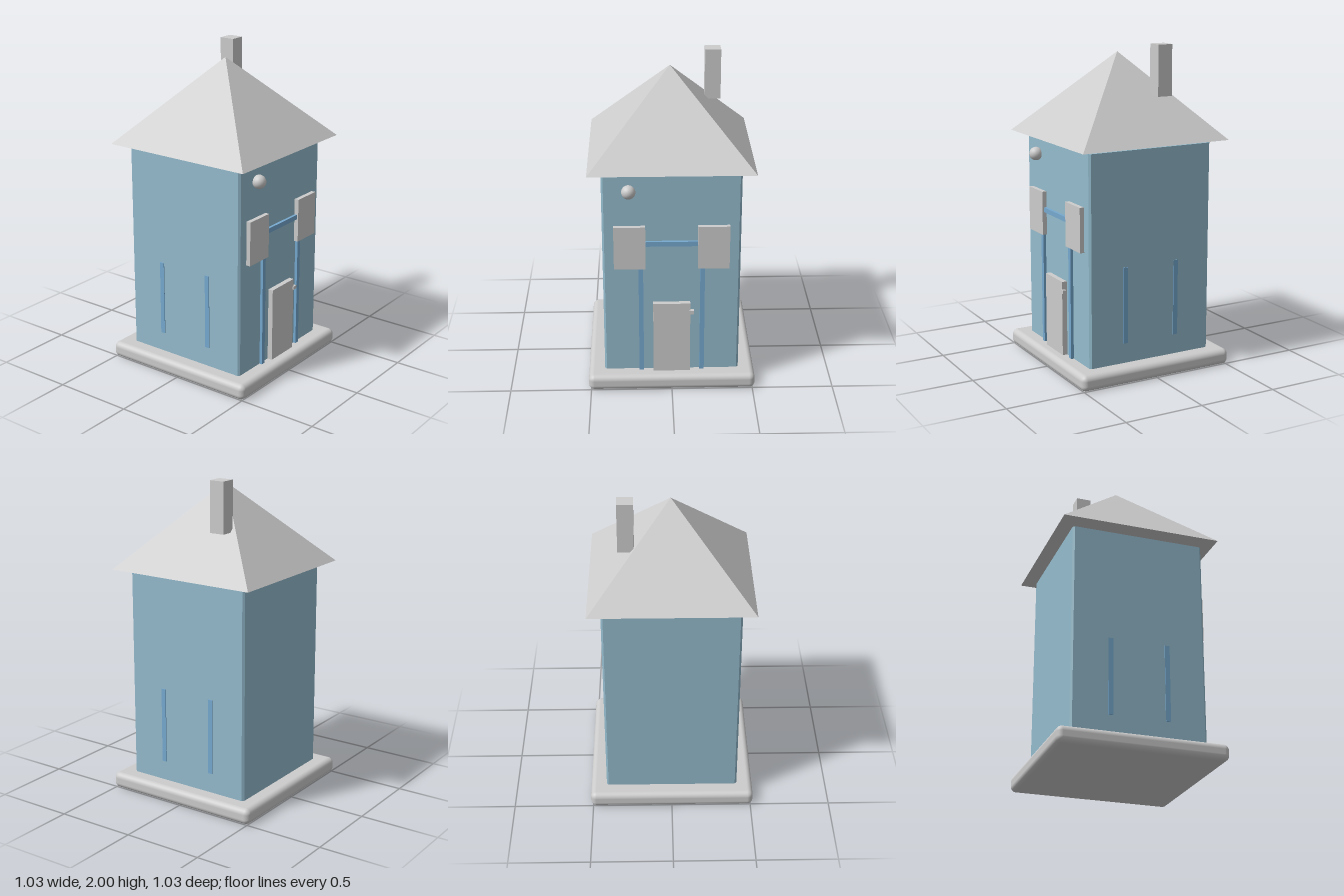
import * as THREE from 'three';
import { RoundedBoxGeometry } from 'three/addons/geometries/RoundedBoxGeometry.js';

export function createModel() {
  const house = new THREE.Group();
  house.name = 'house';

  const material = (name, color) => {
    const m = new THREE.MeshStandardMaterial({ color });
    m.name = name;
    return m;
  };
  const grey = material('pale grey', 0xcccccc);
  const wallBlue = material('wall blue', 0x94bbcd);
  const trimBlue = material('trim blue', 0x76a9cf);

  const add = (name, geometry, mat) => {
    // Separate the faces of every flat-sided part so its edges stay sharp
    const mesh = new THREE.Mesh(geometry, mat);
    mesh.name = name;
    house.add(mesh);
    return mesh;
  };
  // Box given by its limits on each axis
  const box = (name, [x0, x1], [y0, y1], [z0, z1], mat) =>
    add(name, new THREE.BoxGeometry(x1 - x0, y1 - y0, z1 - z0), mat)
      .position.set((x0 + x1) / 2, (y0 + y1) / 2, (z0 + z1) / 2);

  // Rounded foundation slab
  add('base', new RoundedBoxGeometry(1.03, 0.1, 1.03, 5, 0.035), grey).position.y = 0.05;

  // Walls: square plan with narrow chamfered corners
  const h = 0.415, c = 0.403;
  const plan = new THREE.Shape([
    [h, -c], [h, c], [c, h], [-c, h], [-h, c], [-h, -c], [-c, -h], [c, -h],
  ].map(([x, y]) => new THREE.Vector2(x, y)));
  const walls = new THREE.ExtrudeGeometry(plan, { depth: 1.305, bevelEnabled: false });
  walls.rotateX(-Math.PI / 2);
  add('walls', walls, wallBlue).position.y = 0.1;

  // Pyramid roof, just clear of the walls
  const roof = new THREE.ConeGeometry(0.495 * Math.SQRT2, 0.515, 4).toNonIndexed();
  roof.rotateY(Math.PI / 4);
  roof.computeVertexNormals();
  add('roof', roof, grey).position.y = 1.425 + 0.515 / 2;

  box('chimney', [0.217, 0.313], [1.69, 2], [-0.2, -0.105], grey);

  // Door and handle
  box('door', [-0.113, 0.113], [0.1, 0.57], [0.41, 0.447], grey);
  box('doorHandle', [0.105, 0.136], [0.5, 0.522], [0.43, 0.454], grey);

  // Front frame, windows and side strips, mirrored left and right
  box('frontBeam', [-0.2, 0.2], [0.95, 0.98], [0.41, 0.433], trimBlue);
  for (const s of [-1, 1]) {
    const side = s > 0 ? 'left' : 'right';
    const span = (a, b) => (s > 0 ? [a, b] : [-b, -a]);
    box(`${side}FrontPost`, span(0.172, 0.2), [0.1, 0.95], [0.41, 0.433], trimBlue);
    box(`${side}Window`, span(0.157, 0.347), [0.805, 1.08], [0.41, 0.443], grey);
    for (const z of [-0.175, 0.175])
      box(`${side}SideStrip`, span(0.412, 0.42), [0.225, 0.7], [z - 0.015, z + 0.015], trimBlue);
  }

  // Round lamp on the front wall
  add('lamp', new THREE.SphereGeometry(0.042, 24, 16), grey).position.set(-0.254, 1.305, 0.437);

  return house;
}
